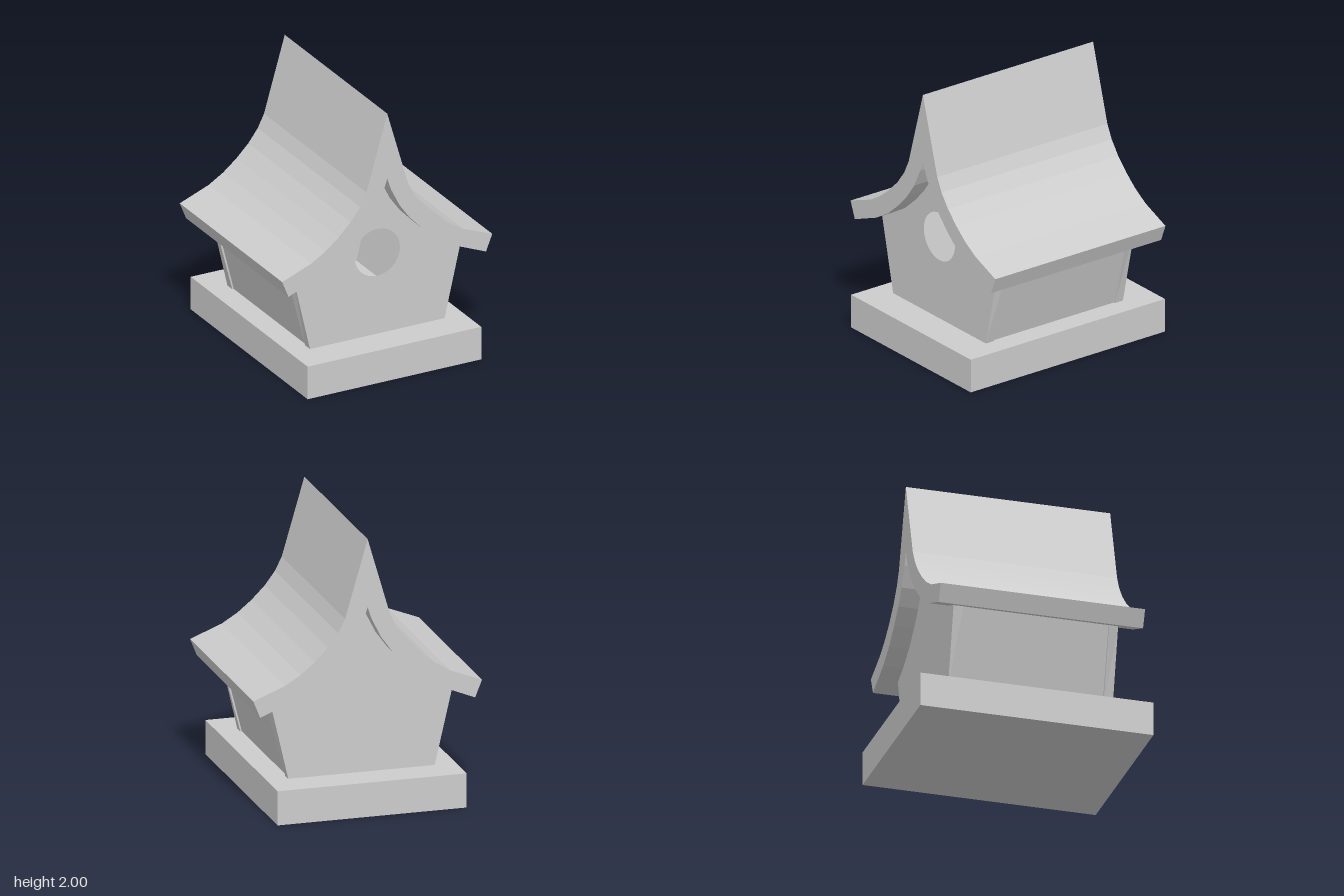
import * as THREE from 'three';

const grey = new THREE.MeshStandardMaterial({ color: 0xcccccc });
grey.name = 'plain grey';

// Right half of the roof section, from ridge to eave
const OUTER = [[0, 2], [0.165, 1.43], [0.215, 1.33], [0.29, 1.23], [0.385, 1.135], [0.49, 1.05], [0.605, 0.98], [0.835, 0.89]];
const INNER = [[0, 1.5], [0.03, 1.41], [0.1, 1.27], [0.18, 1.16], [0.28, 1.055], [0.4, 0.95], [0.54, 0.865], [0.785, 0.765]];

const mirror = (pts) => pts.slice(1).reverse().map(([x, y]) => [-x, y]);
const shapeOf = (pts) => new THREE.Shape(pts.map(([x, y]) => new THREE.Vector2(x, y)));

function extrude(shape, depth, z) {
  const g = new THREE.ExtrudeGeometry(shape, { depth, bevelEnabled: false, curveSegments: 24 });
  return g.translate(0, 0, z);
}

function part(name, geometry) {
  const mesh = new THREE.Mesh(geometry, grey);
  mesh.name = name;
  return mesh;
}

// End wall reaching up to the roof underside; its side edges flare slightly inward of the house
function gableGeometry(withHole) {
  const half = [...INNER.slice(0, -1), [0.665, 0.814], [0.535, 0.25]];
  const shape = shapeOf([...mirror(half), ...half]);
  if (withHole) {
    const hole = new THREE.Path();
    hole.absarc(0, 0.875, 0.18, 0, Math.PI * 2, true);
    shape.holes.push(hole);
  }
  const g = extrude(shape, 0.07, 0.53);
  const p = g.attributes.position;
  for (let i = 0; i < p.count; i++) {
    if (Math.abs(p.getX(i)) > 0.66 && p.getZ(i) < 0.56) p.setX(i, Math.sign(p.getX(i)) * 0.68);
  }
  g.computeVertexNormals();
  return g;
}

export function createModel() {
  const model = new THREE.Group();
  model.name = 'birdhouse';

  // Base slab
  const base = part('base', new THREE.BoxGeometry(1.38, 0.25, 1.7));
  base.position.y = 0.125;
  model.add(base);

  // Curved roof with a sharp ridge
  const section = [...mirror(OUTER), ...OUTER, ...[...INNER].reverse(), ...INNER.slice(1).map(([x, y]) => [-x, y])];
  model.add(part('roof', extrude(shapeOf(section), 1.49, -0.745)));

  // End walls, the front one with the entrance hole
  model.add(part('frontWall', gableGeometry(true)));
  const back = part('backWall', gableGeometry(false));
  back.rotation.y = Math.PI;
  model.add(back);

  // Leaning side walls, set in a little from the end walls
  for (const s of [1, -1]) {
    const wall = shapeOf([[0.523, 0.25], [0.667, 0.826], [0.597, 0.85], [0.453, 0.25]].map(([x, y]) => [s * x, y]));
    model.add(part(s > 0 ? 'leftWall' : 'rightWall', extrude(wall, 1.06, -0.53)));
  }
  return model;
}
